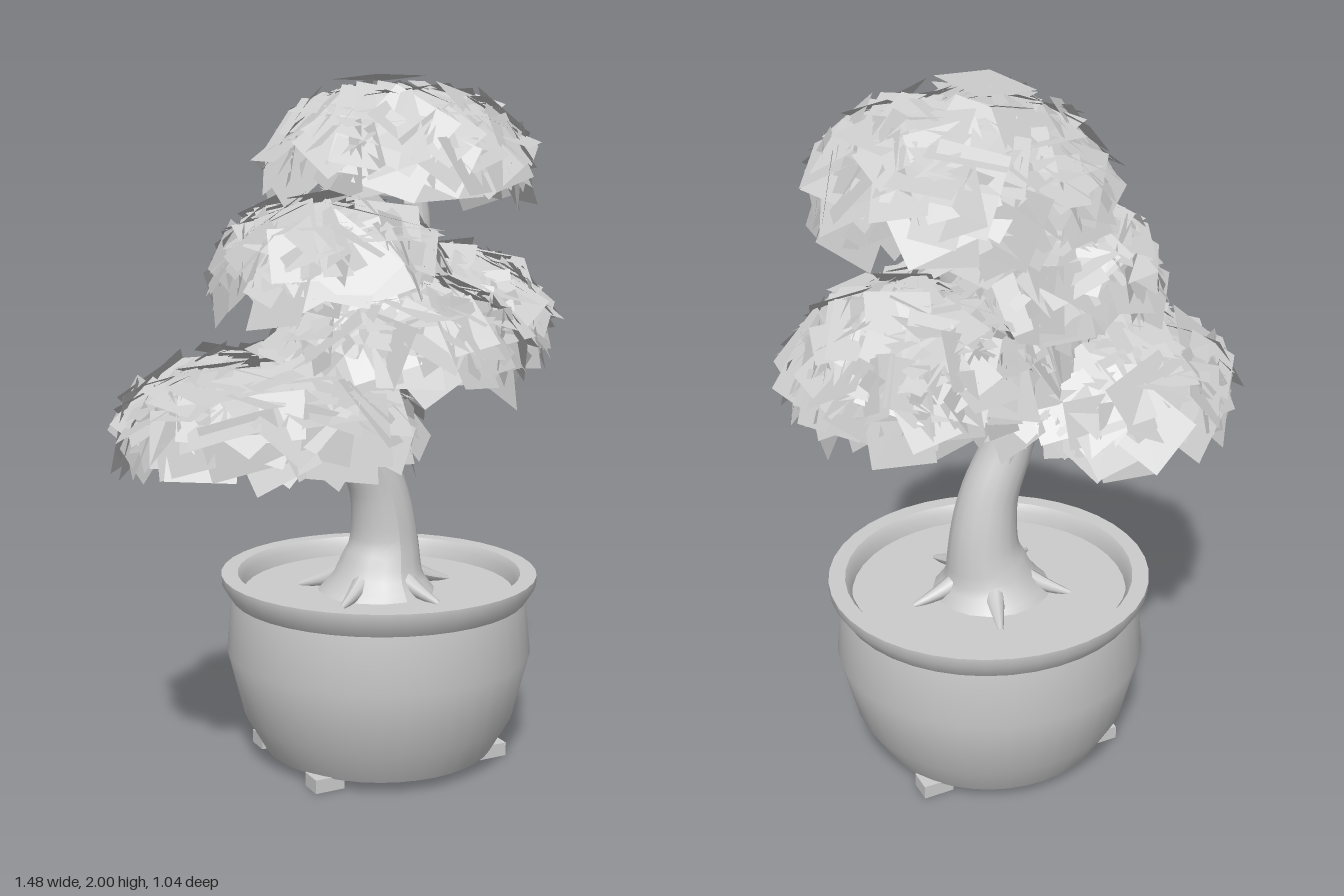
import * as THREE from 'three';
import { mergeGeometries, toCreasedNormals } from 'three/addons/utils/BufferGeometryUtils.js';

const grey = new THREE.MeshStandardMaterial({ color: 0xcccccc });
const greyDouble = new THREE.MeshStandardMaterial({ color: 0xcccccc, side: THREE.DoubleSide });
const POT_X = 0.125, POT_Z = -0.035;

function seeded(seed) {
  let s = seed;
  return () => {
    s = (s * 16807) % 2147483647;
    return s / 2147483647;
  };
}

function addMesh(parent, name, geometry, material = grey) {
  const mesh = new THREE.Mesh(geometry, material);
  mesh.name = name;
  parent.add(mesh);
  return mesh;
}

// Tube along a curve whose radius follows [x, y, z, radius] stations
function taperedTube(stations, segments = 24, sides = 12) {
  const curve = new THREE.CatmullRomCurve3(stations.map(([x, y, z]) => new THREE.Vector3(x, y, z)));
  const geometry = new THREE.TubeGeometry(curve, segments, 1, sides);
  const pos = geometry.attributes.position;
  const v = new THREE.Vector3();
  for (let i = 0; i < pos.count; i++) {
    const t = Math.floor(i / (sides + 1)) / segments;
    const center = curve.getPointAt(t);
    const u = curve.getUtoTmapping(t) * (stations.length - 1);
    const k = Math.min(Math.floor(u), stations.length - 2);
    const radius = THREE.MathUtils.lerp(stations[k][3], stations[k + 1][3], u - k);
    v.fromBufferAttribute(pos, i).sub(center).multiplyScalar(radius).add(center);
    pos.setXYZ(i, v.x, v.y, v.z);
  }
  geometry.computeVertexNormals();
  return geometry;
}

// Dome core with a shallow rounded underside
function domeGeometry(rx, height, rz) {
  const geometry = new THREE.SphereGeometry(1, 24, 14);
  const pos = geometry.attributes.position;
  for (let i = 0; i < pos.count; i++) {
    const y = pos.getY(i);
    pos.setXYZ(i, pos.getX(i) * rx, y * (y < 0 ? 0.02 : height), pos.getZ(i) * rz);
  }
  geometry.computeVertexNormals();
  return geometry;
}

// Overlapping flat leaf cards laid over the dome and hanging a little below its rim
function leafCards(rx, height, rz, count, random) {
  const cards = [];
  const dummy = new THREE.Object3D();
  const jitter = (amount) => (random() - 0.5) * 2 * amount;
  for (let i = 0; i < count; i++) {
    const up = -0.15 + 1.15 * (i + 0.5) / count;
    const ring = Math.sqrt(1 - up * up);
    const angle = i * 2.39996 + jitter(0.25);
    const dir = new THREE.Vector3(Math.cos(angle) * ring, up, Math.sin(angle) * ring);
    const size = 0.12 + random() * 0.07;
    const card = new THREE.PlaneGeometry(size, size * (0.9 + random() * 0.5));
    dummy.position.set(dir.x * rx, dir.y * height, dir.z * rz).multiplyScalar(0.93 + random() * 0.08);
    const normal = new THREE.Vector3(dir.x / rx, Math.max(dir.y, 0.1) / height, dir.z / rz).normalize();
    normal.add(new THREE.Vector3(jitter(0.4), 0.15 + jitter(0.25), jitter(0.4)));
    dummy.lookAt(dummy.position.clone().add(normal));
    dummy.rotateZ(random() * Math.PI);
    dummy.updateMatrix();
    cards.push(card.applyMatrix4(dummy.matrix));
  }
  return mergeGeometries(cards);
}

function createPot() {
  const pot = new THREE.Group();
  pot.name = 'pot';
  pot.position.set(POT_X, 0, POT_Z);
  const profile = [
    [0, 0.035], [0.345, 0.035], [0.405, 0.14], [0.453, 0.33],
    [0.438, 0.49], [0.467, 0.535], [0.468, 0.562], [0.42, 0.562], [0.405, 0.54], [0.4, 0.48],
  ].map(([r, y]) => new THREE.Vector2(r, y));
  addMesh(pot, 'bowl', toCreasedNormals(new THREE.LatheGeometry(profile, 40), 0.6), greyDouble);
  const soil = addMesh(pot, 'soil', new THREE.CircleGeometry(0.405, 40));
  soil.rotation.x = -Math.PI / 2;
  soil.position.y = 0.505;
  for (const sx of [-1, 1]) {
    for (const sz of [-1, 1]) {
      addMesh(pot, 'foot', new THREE.BoxGeometry(0.09, 0.04, 0.07)).position.set(sx * 0.272, 0.02, sz * 0.187);
    }
  }
  return pot;
}

function createWood() {
  const wood = new THREE.Group();
  wood.name = 'wood';
  addMesh(wood, 'trunk', taperedTube([
    [0.125, 0.49, -0.035, 0.185], [0.13, 0.56, -0.035, 0.13], [0.142, 0.65, -0.035, 0.103],
    [0.122, 0.8, -0.03, 0.086], [0.06, 0.95, -0.028, 0.074], [0.015, 1.1, -0.028, 0.066],
    [0.07, 1.27, -0.035, 0.06], [0.19, 1.4, -0.045, 0.052], [0.255, 1.55, -0.05, 0.04],
    [0.245, 1.68, -0.055, 0.036], [0.21, 1.85, -0.07, 0.03],
  ], 48, 16));
  // Surface roots spread from the flare
  for (let i = 0; i < 5; i++) {
    const a = i * Math.PI * 0.4;
    const at = (r, y, radius) => [POT_X + Math.cos(a) * r, y, POT_Z + Math.sin(a) * r, radius];
    addMesh(wood, 'root', taperedTube([at(0.08, 0.56, 0.035), at(0.16, 0.528, 0.022), at(0.24, 0.505, 0.008)], 6, 8));
  }
  // Branches reaching the leaf pads
  const branches = [
    [[0.03, 1.03, -0.03, 0.035], [-0.13, 1.06, 0.03, 0.025], [-0.28, 1.09, 0.08, 0.014]],
    [[0.1, 1.28, -0.04, 0.035], [0.26, 1.27, -0.09, 0.025], [0.42, 1.32, -0.11, 0.014]],
    [[0.03, 1.18, -0.03, 0.035], [0.04, 1.23, 0.07, 0.025], [0.06, 1.3, 0.16, 0.014]],
    [[0.21, 1.42, -0.04, 0.034], [0.08, 1.45, -0.02, 0.024], [-0.06, 1.52, 0, 0.014]],
  ];
  for (const stations of branches) addMesh(wood, 'branch', taperedTube(stations, 10, 8));
  return wood;
}

function createModel() {
  const model = new THREE.Group();
  model.name = 'bonsaiTree';
  model.add(createPot(), createWood());

  // Leaf pads: centre x, rim y, z, then dome radii and height
  const pads = [
    ['lowerPad', -0.27, 1.05, 0.07, 0.39, 0.19, 0.37],
    ['rightMiddlePad', 0.39, 1.28, -0.12, 0.28, 0.21, 0.31],
    ['frontMiddlePad', 0.08, 1.25, 0.15, 0.32, 0.19, 0.3],
    ['upperPad', -0.06, 1.46, 0, 0.29, 0.19, 0.3],
    ['crownPad', 0.21, 1.755, -0.08, 0.36, 0.21, 0.36],
  ];
  pads.forEach(([name, x, y, z, rx, height, rz], i) => {
    const pad = new THREE.Group();
    pad.name = name;
    pad.position.set(x, y, z);
    addMesh(pad, 'core', domeGeometry(rx * 0.9, height * 0.88, rz * 0.9));
    addMesh(pad, 'leaves', leafCards(rx, height, rz, 180, seeded(101 + i * 977)), greyDouble);
    model.add(pad);
  });

  // Flat leaf topping the crown
  const topLeaf = addMesh(model, 'topLeaf', new THREE.PlaneGeometry(0.16, 0.27), greyDouble);
  topLeaf.rotation.x = -Math.PI / 2;
  topLeaf.position.set(0.14, 1.995, -0.07);
  return model;
}

export { createModel };
